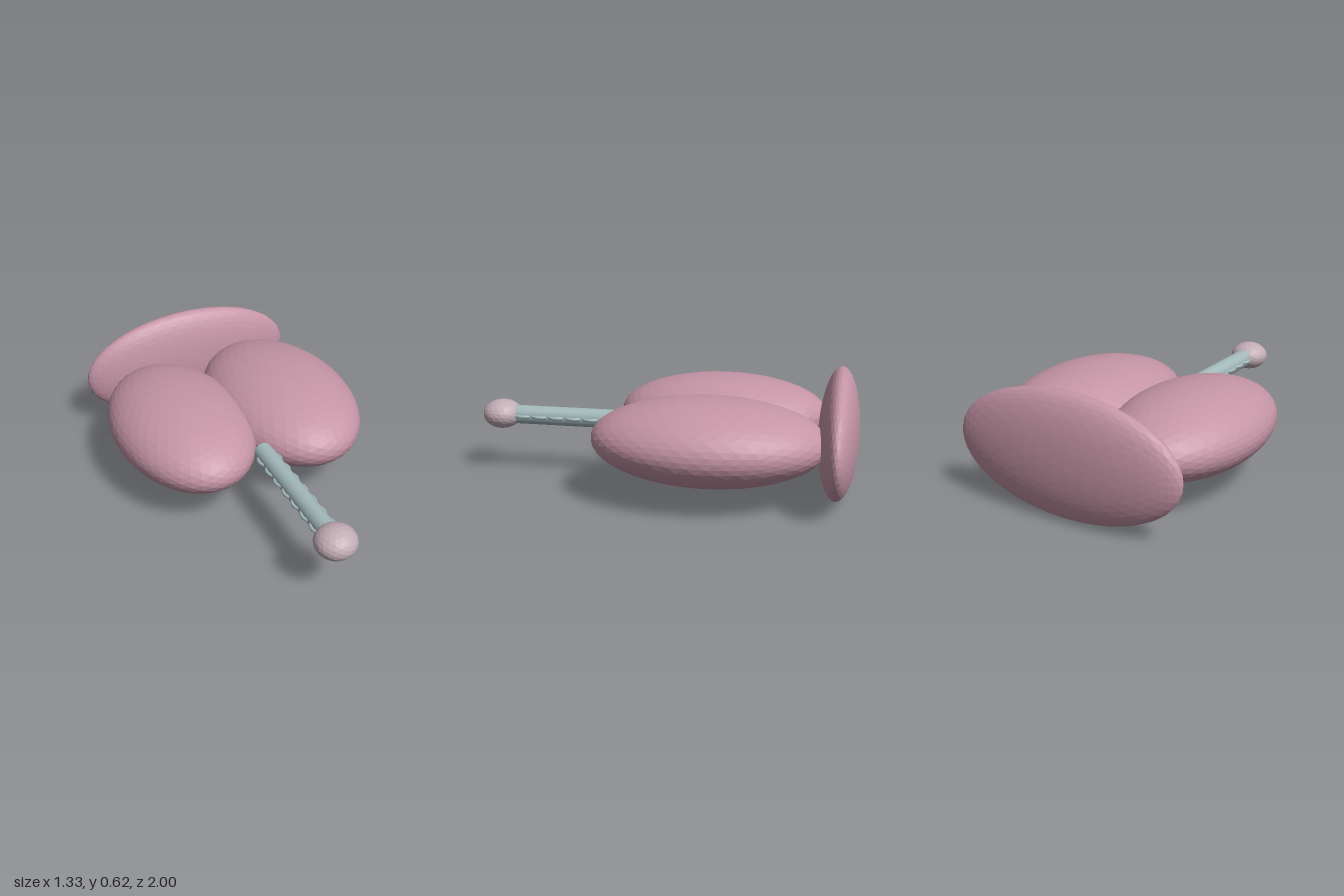
import * as THREE from 'three';

export function createModel() {
  const group = new THREE.Group();
  const material = (name, color, flatShading = true) => {
    const m = new THREE.MeshStandardMaterial({ color, flatShading });
    m.name = name;
    return m;
  };
  const rose = material('rose', 0xc595a5);
  const paleMauve = material('pale mauve', 0xc2adb5);
  const greyTeal = material('grey teal', 0xa3b8ba, false);

  const midX = -0.015, midY = 0.312;

  const add = (name, geometry, mat, x, y, z) => {
    const mesh = new THREE.Mesh(geometry, mat);
    mesh.name = name;
    mesh.position.set(x, y, z);
    group.add(mesh);
    return mesh;
  };
  // Faceted ellipsoid with the given radii
  const ellipsoid = (name, mat, detail, x, z, rx, ry, rz) =>
    add(name, new THREE.IcosahedronGeometry(1, detail).scale(rx, ry, rz), mat, x, midY, z);

  // Two unequal lobes that meet near the middle
  ellipsoid('rightLobe', rose, 7, -0.308, -0.27, 0.36, 0.203, 0.56);
  ellipsoid('leftLobe', rose, 7, 0.278, -0.27, 0.386, 0.212, 0.586);

  // Flattened disc behind the lobes
  ellipsoid('backDisc', rose, 7, midX, -0.897, 0.61, 0.31, 0.103);

  // Knob at the front of the pipe
  ellipsoid('frontKnob', paleMauve, 3, midX, 0.895, 0.105, 0.078, 0.105);

  // Straight pipe
  const pipe = new THREE.CylinderGeometry(0.05, 0.05, 0.72, 32).rotateX(Math.PI / 2);
  add('pipe', pipe, greyTeal, midX, midY, 0.49);

  // Row of thin rings lying flat along the pipe
  const ring = new THREE.TorusGeometry(0.057, 0.009, 10, 32).rotateX(Math.PI / 2);
  for (let i = 0; i < 7; i++) {
    add('pipeRing', ring, greyTeal, midX, midY, 0.21 + i * 0.0935);
  }

  return group;
}
